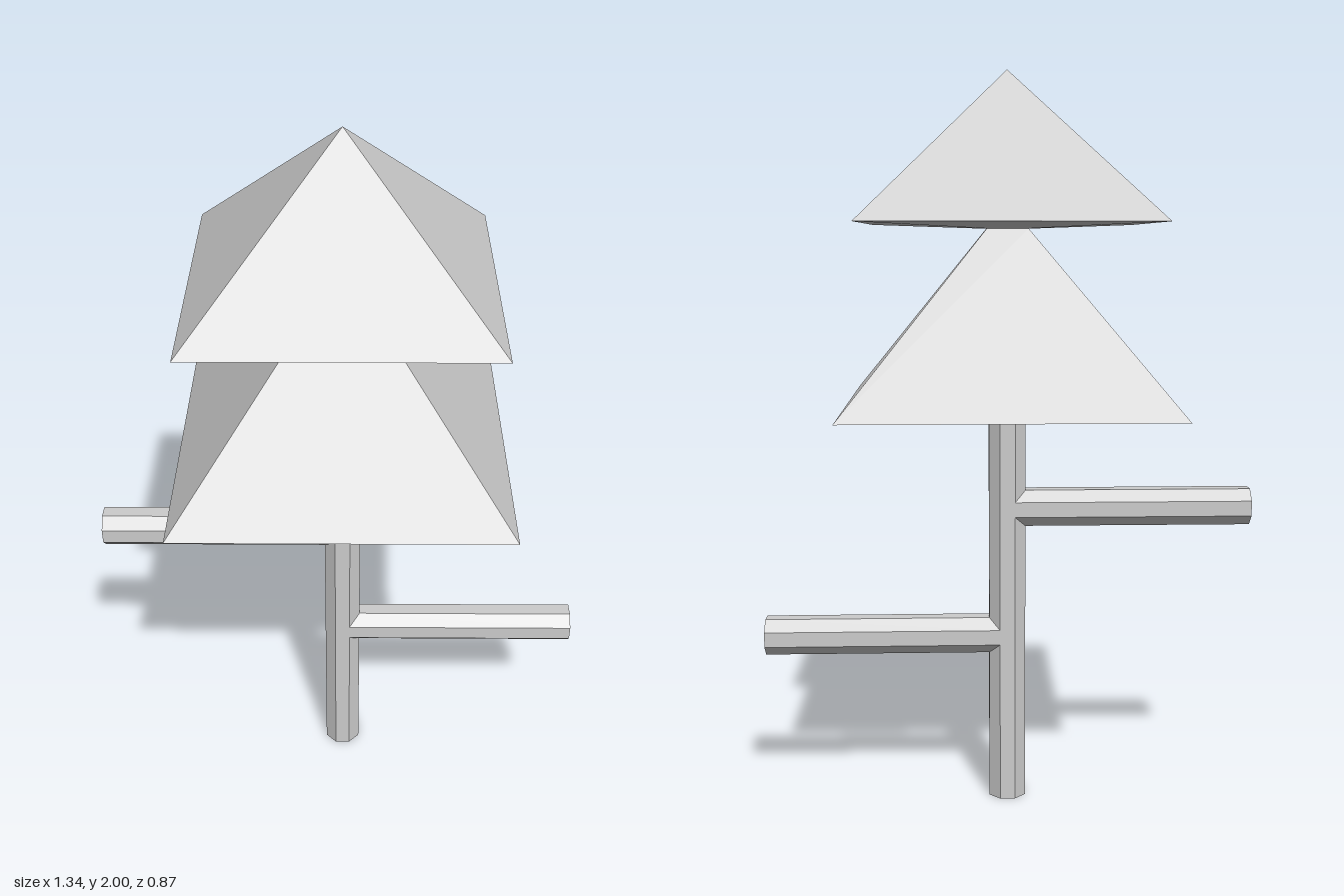
import * as THREE from 'three';

const material = new THREE.MeshStandardMaterial({ color: 0xcccccc, flatShading: true });

// Prism or frustum with flat sides facing the axes; half widths measured to the flats
function prism(name, halfTop, halfBottom, y0, y1, sides, open = false) {
  const k = 1 / Math.cos(Math.PI / sides);
  const geometry = new THREE.CylinderGeometry(
    halfTop * k, halfBottom * k, y1 - y0, sides, 1, open, Math.PI / sides);
  geometry.translate(0, (y0 + y1) / 2, 0);
  const mesh = new THREE.Mesh(geometry, material);
  mesh.name = name;
  return mesh;
}

export function createModel() {
  const tree = new THREE.Group();
  tree.name = 'tree';

  // Octagonal trunk
  tree.add(prism('trunk', 0.05, 0.05, 0, 1.13, 8));

  // Octagonal branches, one on each side
  for (const [name, side, y] of [['leftBranch', 1, 0.47], ['rightBranch', -1, 0.83]]) {
    const branch = prism(name, 0.05, 0.05, 0.02, 0.67, 8);
    branch.rotation.z = -side * Math.PI / 2;
    branch.position.y = y;
    tree.add(branch);
  }

  // Lower foliage, cut off where it meets the upper tier
  tree.add(prism('lowerFoliage', 0.055, 0.433, 1.12, 1.588, 4));

  // Upper foliage with a slightly bulging underside
  const upper = new THREE.Group();
  upper.name = 'upperFoliage';
  upper.add(
    prism('upperFoliageTop', 0, 0.383, 1.602, 2, 4, true),
    prism('upperFoliageUnderside', 0.383, 0.055, 1.588, 1.602, 4, true));
  tree.add(upper);

  return tree;
}
